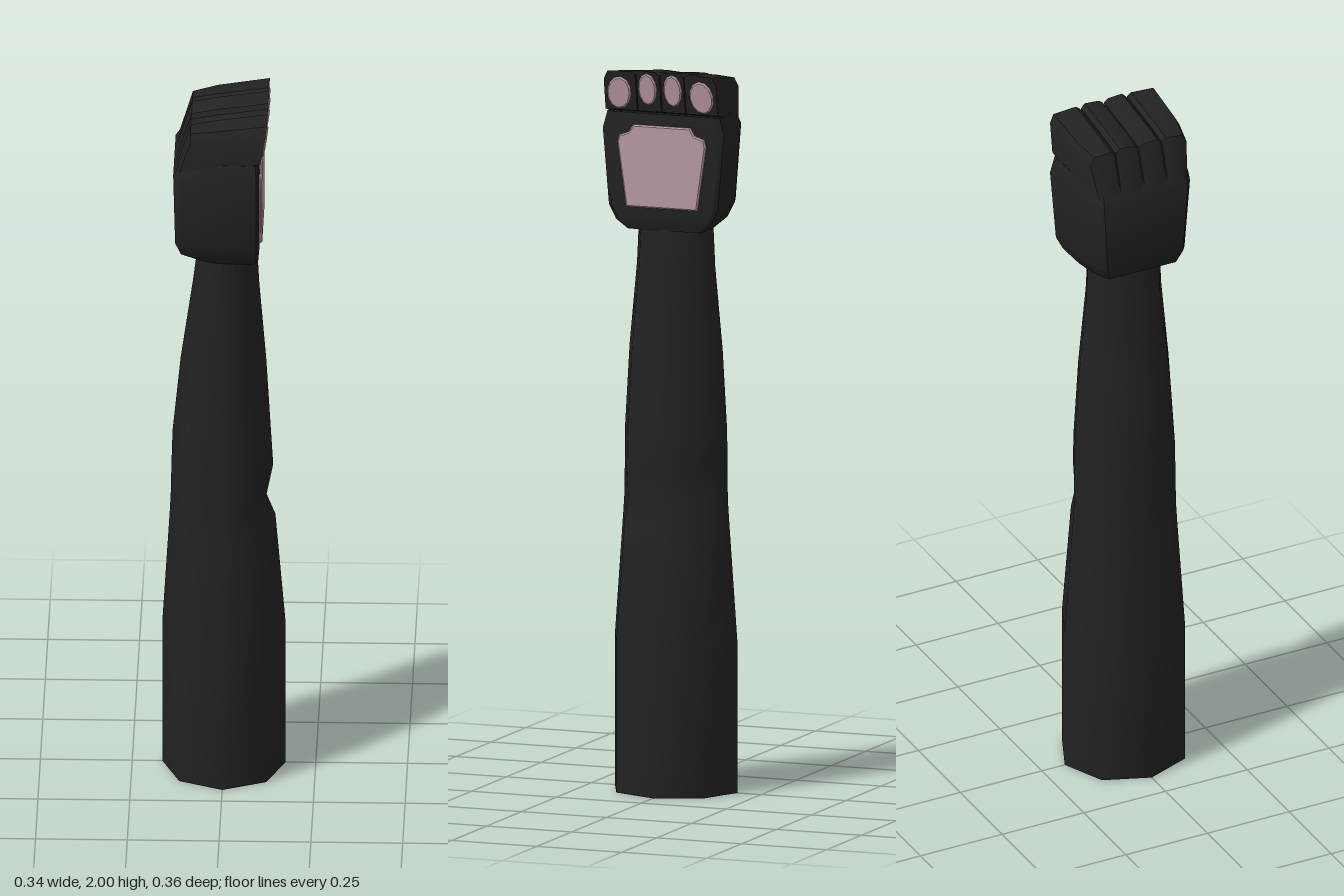
import * as THREE from 'three';
import { toCreasedNormals } from 'three/addons/utils/BufferGeometryUtils.js';

const fur = new THREE.MeshStandardMaterial({ color: 0x222222, side: THREE.DoubleSide });
const skin = new THREE.MeshStandardMaterial({ color: 0xb899a1, side: THREE.DoubleSide });

// Skin a list of equal-length rings of [x, y, z]; optionally close the last ring
function loft(rings, capEnd, crease) {
  const n = rings[0].length, pos = rings.flat(2), idx = [];
  for (let i = 0; i < rings.length - 1; i++) {
    for (let j = 0; j < n; j++) {
      const a = i * n + j, b = i * n + (j + 1) % n;
      idx.push(a, b, b + n, a, b + n, a + n);
    }
  }
  if (capEnd) {
    const s = (rings.length - 1) * n;
    for (let j = 1; j < n - 1; j++) idx.push(s, s + j, s + j + 1);
  }
  const g = new THREE.BufferGeometry();
  g.setAttribute('position', new THREE.Float32BufferAttribute(pos, 3));
  g.setIndex(idx);
  g.computeVertexNormals();
  return toCreasedNormals(g, crease);
}

function add(parent, name, geometry, material) {
  const mesh = new THREE.Mesh(geometry, material);
  mesh.name = name;
  parent.add(mesh);
  return mesh;
}

// Thin bevelled plate facing +x, from a shape drawn in (z, y)
function padGeometry(shape) {
  return new THREE.ExtrudeGeometry(shape, {
    depth: 0.003, bevelThickness: 0.004, bevelSize: 0.004, bevelSegments: 1, curveSegments: 6,
  }).rotateY(Math.PI / 2);
}

export function createModel() {
  const model = new THREE.Group();
  model.name = 'pawArm';

  // Eight-sided arm, open at the bottom: [y, back x, front x, half depth]
  const armRings = [
    [0, 0.168, 0.168, 0.18], [0.42, 0.168, 0.168, 0.18], [0.75, 0.148, 0.14, 0.156],
    [0.81, 0.145, 0.116, 0.152], [0.9, 0.143, 0.134, 0.151], [1, 0.14, 0.128, 0.15],
    [1.22, 0.118, 0.115, 0.137], [1.45, 0.085, 0.096, 0.115], [1.6, 0.066, 0.088, 0.108],
  ].map(([y, back, front, h]) => Array.from({ length: 8 }, (_, i) => {
    const s = Math.sin(i * Math.PI / 4), c = Math.cos(i * Math.PI / 4);
    return [s * (s > 0 ? front : back), y, c * h];
  }));
  add(model, 'arm', loft(armRings, false, 1), fur);

  // Palm block, flat at the front and rounded at the back
  const palmRings = [
    [1.555, -0.07, 0.088, 0.11], [1.58, -0.115, 0.097, 0.14], [1.62, -0.13, 0.1, 0.16],
    [1.83, -0.135, 0.1, 0.178], [1.878, -0.105, 0.098, 0.165],
  ].map(([y, a, b, h]) => [
    [0, h * 0.98], [b * 0.92, h], [b, h * 0.93], [b, -h * 0.93], [b * 0.92, -h], [0, -h * 0.98],
    [a * 0.5, -h * 0.91], [a * 0.85, -h * 0.81], [a, -h * 0.72],
    [a, h * 0.72], [a * 0.85, h * 0.81], [a * 0.5, h * 0.91],
  ].map(([x, z]) => [x, y, z]));
  add(model, 'palm', loft(palmRings, true, 0.6), fur);

  // Four toes running over the top from the back to the front
  const stations = [
    // x, bottom, top, outer taper, front tilt
    [-0.132, 1.78, 1.83, 0.78, 0], [-0.088, 1.82, 1.967, 0.89, 0],
    [-0.02, 1.85, 1.98, 0.97, 0], [0.122, 1.885, 2, 1, 0.16],
  ];
  const toe = (inner, outer, drop, side) => {
    const rings = stations.map(([x, bot, top, taper, tilt]) => {
      const o = drop ? outer * taper : outer, c = 0.012;
      const ring = [
        [top - 0.003, inner + c], [top - drop * 0.4, o - c], [top - c - drop, o],
        [bot, o], [bot, inner], [top - c, inner],
      ].map(([y, z]) => [x + (y - 2) * tilt, y, z * side]);
      return side > 0 ? ring : ring.reverse();
    });
    return loft(rings, true, 0.6);
  };

  // Toe pads on the tilted toe fronts
  const toePad = (y, z, rz, ry, turn) => {
    const shape = new THREE.Shape().absellipse(0, 0, rz - 0.004, ry - 0.004, 0, Math.PI * 2, false, turn);
    const pad = add(model, 'toePad', padGeometry(shape), skin);
    pad.rotation.z = -Math.atan(0.16);
    pad.position.set(0.121 + (y - 2) * 0.16, y, z);
  };

  for (const side of [1, -1]) {
    add(model, 'innerToe', toe(0.002, 0.069, 0, side), fur);
    add(model, 'outerToe', toe(0.072, 0.165, 0.018, side), fur);
    toePad(1.948, side * 0.037, 0.027, 0.045, 0);
    toePad(1.934, side * 0.121, 0.035, 0.046, -side * 0.15);
  }

  // Palm pad with notched upper corners
  const half = [[0.101, 1.622], [0.126, 1.795], [0.122, 1.812], [0.094, 1.822], [0.082, 1.842]];
  const outline = [...half, ...half.map(([z, y]) => [-z, y]).reverse()];
  const palmPad = add(model, 'palmPad',
    padGeometry(new THREE.Shape(outline.map(([z, y]) => new THREE.Vector2(z, y)))), skin);
  palmPad.position.x = 0.1;

  return model;
}
